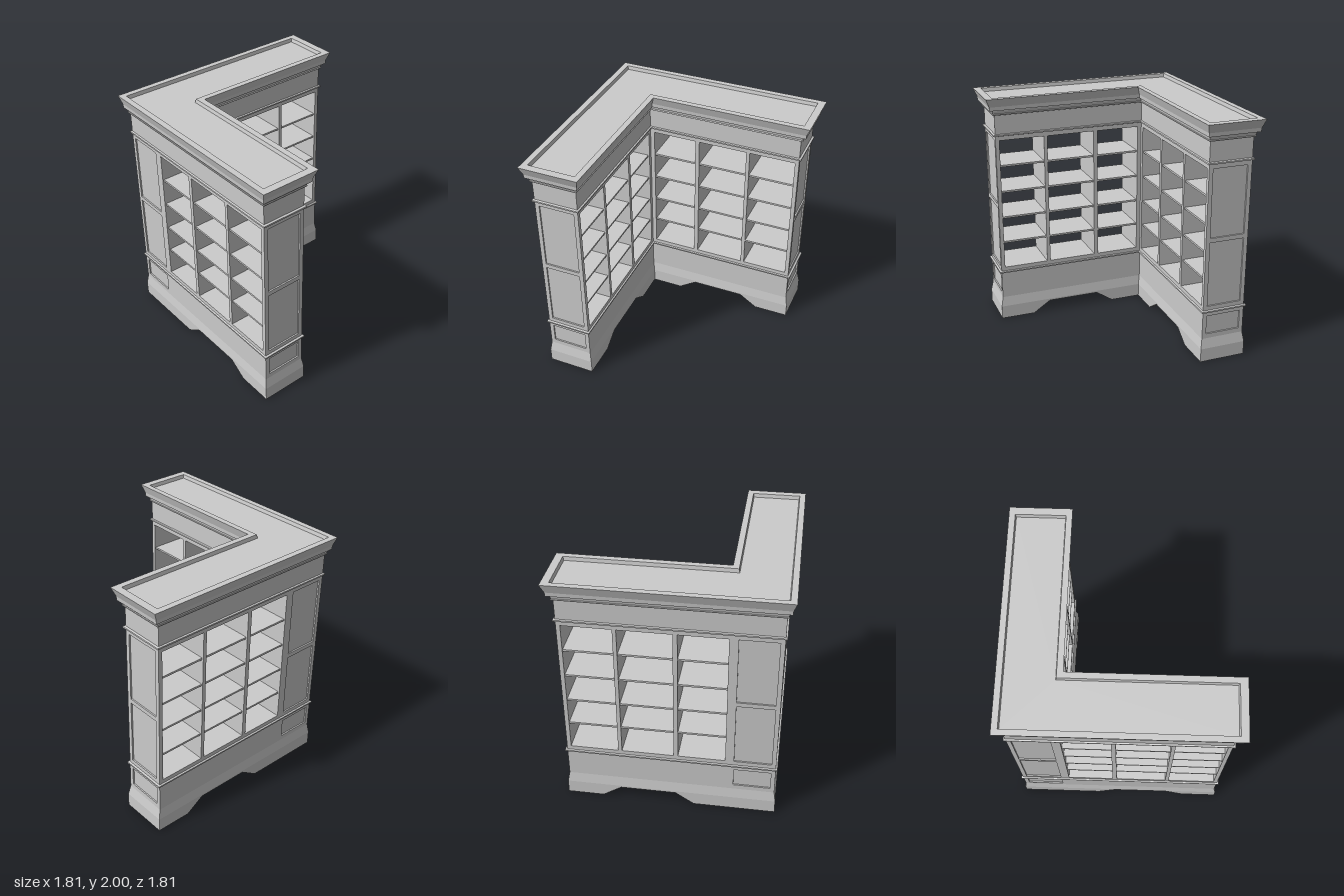
import * as THREE from 'three';

// Plan of the L: outer faces at A, arm ends at B, inner faces at C
const A = -0.845, B = 0.828, C = -0.48, T = 0.012;
const BAYS = [[-0.445, -0.07], [-0.035, 0.38], [0.41, 0.795]];
const BAY_Y = [0.487, 1.635];
const PANEL_U = [-0.81, -0.515];
const PANEL_Y = [[0.24, 0.4], [0.487, 1.033], [1.07, 1.635]];

export function createModel() {
  const root = new THREE.Group();
  const mat = new THREE.MeshStandardMaterial({ color: 0xcccccc, flatShading: true });

  function mesh(name, geo) {
    const m = new THREE.Mesh(geo, mat);
    m.name = name;
    root.add(m);
  }

  // Reflects a geometry across x = z, keeping faces outward
  function swapped(geo) {
    const g = geo.index ? geo.toNonIndexed() : geo.clone();
    const p = g.attributes.position, out = [];
    for (let i = 0; i < p.count; i += 3)
      for (const k of [i, i + 2, i + 1]) out.push(p.getZ(k), p.getY(k), p.getX(k));
    const r = new THREE.BufferGeometry();
    r.setAttribute('position', new THREE.Float32BufferAttribute(out, 3));
    r.computeVertexNormals();
    return r;
  }

  // Adds a part of the back arm and its twin on the side arm
  function both(name, geo) {
    mesh(name + 'Back', geo);
    mesh(name + 'Side', swapped(geo));
  }

  function box(x0, x1, y0, y1, z0, z1) {
    return new THREE.BoxGeometry(x1 - x0, y1 - y0, z1 - z0)
      .translate((x0 + x1) / 2, (y0 + y1) / 2, (z0 + z1) / 2);
  }

  function extrude(points, holes, depth) {
    const s = new THREE.Shape(points.map(([x, y]) => new THREE.Vector2(x, y)));
    for (const [x0, x1, y0, y1] of holes)
      s.holes.push(new THREE.Path([[x0, y0], [x0, y1], [x1, y1], [x1, y0]].map(([x, y]) => new THREE.Vector2(x, y))));
    return new THREE.ExtrudeGeometry(s, { depth, bevelEnabled: false });
  }

  // Face sheet with rectangular openings
  const sheet = (u0, u1, holes) =>
    extrude([[u0, 0.2], [u1, 0.2], [u1, 1.86], [u0, 1.86]], holes, T);

  // L-shaped moulding: profile of [offset, height], capped at both ends
  function moulding(name, profile) {
    const rings = profile.map(([d, y]) => {
      const a = A - d, b = B + d * 1.27, c = C + d;
      return [[a, a], [b, a], [b, c], [c, c], [c, b], [a, b]].map(([x, z]) => [x, y, z]);
    });
    const out = [];
    const tri = (...v) => v.forEach(p => out.push(...p));
    for (let r = 0; r < rings.length - 1; r++) {
      for (let i = 0; i < 6; i++) {
        const j = (i + 1) % 6, lo = rings[r], hi = rings[r + 1];
        tri(lo[i], hi[i], hi[j]);
        tri(lo[i], hi[j], lo[j]);
      }
    }
    const first = rings[0], last = rings[rings.length - 1];
    for (const [i, j] of [[4, 5], [5, 0], [0, 1], [1, 2]]) {
      tri(first[3], first[i], first[j]);
      tri(last[3], last[j], last[i]);
    }
    const g = new THREE.BufferGeometry();
    g.setAttribute('position', new THREE.Float32BufferAttribute(out, 3));
    g.computeVertexNormals();
    mesh(name, g);
  }

  // Face sheets: outer with bays and corner panels, inner with bays, arm end with panels
  const bayHoles = BAYS.map(b => [...b, ...BAY_Y]);
  const panelHoles = PANEL_Y.map(p => [...PANEL_U, ...p]);
  both('outerFrame', sheet(A, B, [...bayHoles, ...panelHoles]).translate(0, 0, A));
  both('innerFrame', sheet(C, B, bayHoles).translate(0, 0, C - T));
  both('endPanels', sheet(A, C, panelHoles).rotateY(-Math.PI / 2).translate(B, 0, 0));

  // Carcass behind the sheets
  const z0 = A + T, z1 = C - T;
  both('cornerPost', box(z0, BAYS[0][0], 0.2, 1.86, z0, z1));
  both('endPost', box(0.795, B - T, 0.2, 1.86, z0, z1));
  both('lowerCarcass', box(z0, B - T, 0.2, BAY_Y[0], z0, z1));
  both('header', box(z0, B - T, BAY_Y[1], 1.86, z0, z1));
  for (let i = 0; i < 2; i++)
    both('divider' + (i + 1), box(BAYS[i][1], BAYS[i + 1][0], ...BAY_Y, z0, z1));
  [0.717, 0.945, 1.178, 1.408].forEach((y, i) =>
    both('shelf' + (i + 1), box(BAYS[0][0], 0.795, y - 0.008, y + 0.008, z0, z1)));

  // Flared plinth and hollow feet with sloped cutouts
  const f = 0.013, W = 0.04, H = 0.1;
  moulding('plinth', [[f, H], [f, 0.115], [0, 0.2]]);
  const end = B + f * 1.27;
  for (const [name, start, z] of [['outer', A - f, A - f], ['inner', C + f - W, C + f - W]]) {
    both(name + 'CornerFoot', extrude([[start, 0], [-0.2, 0], [-0.05, H], [start, H]], [], W).translate(0, 0, z));
    both(name + 'EndFoot', extrude([[0.55, 0], [end, 0], [end, H], [0.4, H]], [], W).translate(0, 0, z));
  }
  both('endFootWall', box(end - W, end, 0, H, A - f, C + f));

  // Thin beads above the base and below the frieze
  for (const [name, y] of [['lowerBead', 0.442], ['upperBead', 1.68]])
    moulding(name, [[0, y - 0.01], [0.013, y - 0.006], [0.013, y + 0.006], [0, y + 0.01]]);

  // Cornice with raised rim around the sunken top
  moulding('cornice', [
    [0, 1.85], [0.013, 1.855], [0.013, 1.862], [0.01, 1.866], [0.015, 1.89], [0.015, 1.896],
    [0.035, 1.898], [0.037, 1.93], [0.06, 2], [0.012, 2], [0.006, 1.97],
  ]);

  return root;
}
